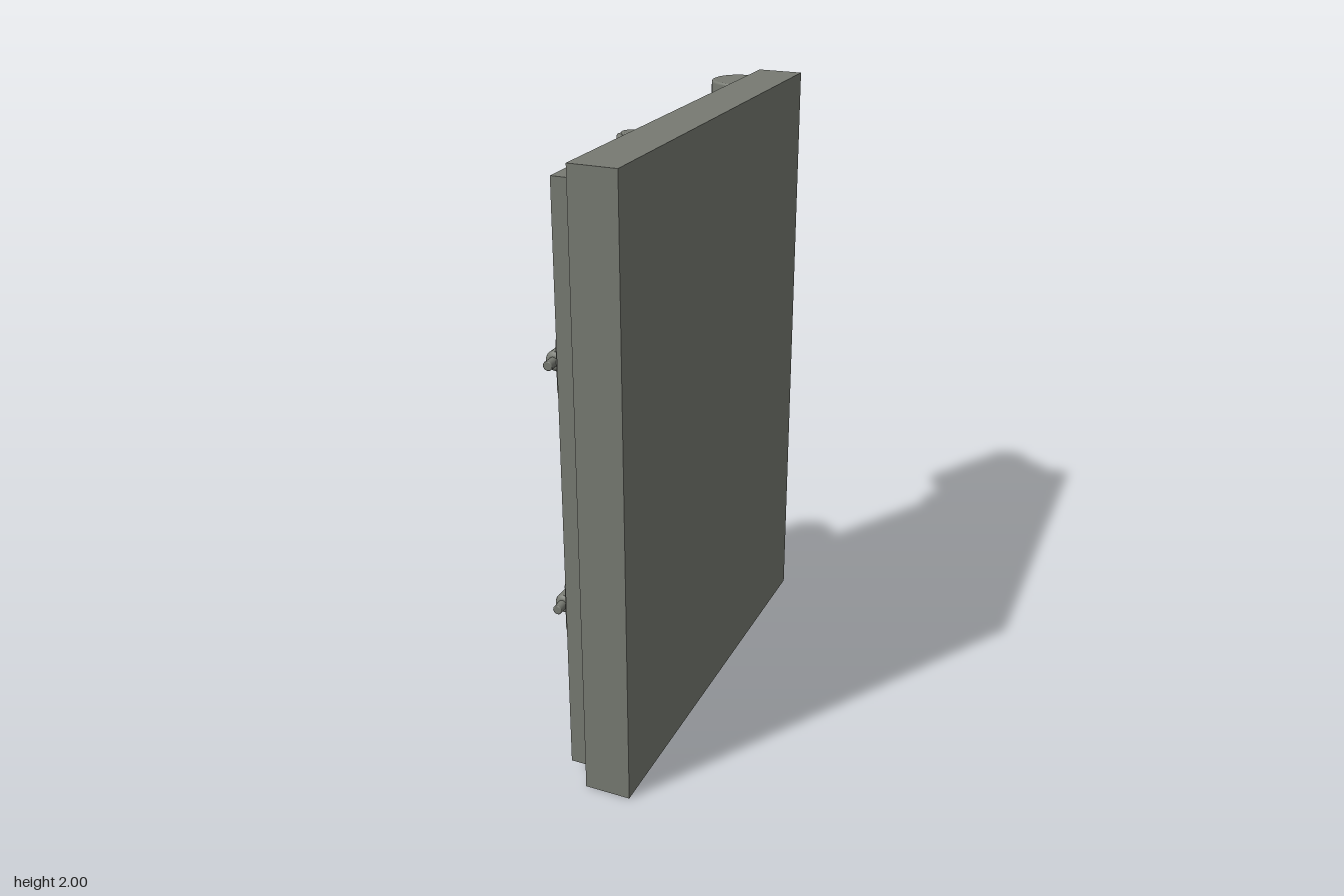
import * as THREE from 'three';

const steel = new THREE.MeshStandardMaterial({ color: 0x777a72 });
steel.name = 'grey steel';

// Wheel and pivots share this z position on the door face
const PIVOT_Z = 0.16;

export function createModel() {
  const model = new THREE.Group();
  model.name = 'vaultDoor';

  const add = (name, geo, x = 0, y = 0, z = 0) => {
    const mesh = new THREE.Mesh(geo, steel);
    mesh.name = name;
    mesh.position.set(x, y, z);
    model.add(mesh);
    return mesh;
  };

  // Box given by its limits on each axis
  const box = (name, x0, x1, y0, y1, z0, z1) =>
    add(name, new THREE.BoxGeometry(x1 - x0, y1 - y0, z1 - z0), (x0 + x1) / 2, (y0 + y1) / 2, (z0 + z1) / 2);

  // Round bar with softened ends, turned around y and centred on its length
  const barrelGeo = (r, length, soft, segments = 32) => {
    const h = length / 2, k = soft * 0.3;
    const flat = [[0, -h], [r - soft, -h]];
    const side = [[r - soft, -h], [r - k, -h + k], [r, -h + soft], [r, h - soft], [r - k, h - k], [r - soft, h]];
    const pts = [...flat, ...side, [r - soft, h], [0, h]].map(p => new THREE.Vector2(...p));
    return new THREE.LatheGeometry(pts, segments);
  };
  const alongX = geo => geo.rotateZ(Math.PI / 2);
  const alongZ = geo => geo.rotateX(Math.PI / 2);

  // Closed outline from [u, v, cornerRadius] points
  const roundedShape = pts => {
    const s = new THREE.Shape();
    pts.forEach(([u, v, r = 0], i) => {
      const p = new THREE.Vector2(u, v);
      const toward = q => p.clone().add(new THREE.Vector2(q[0], q[1]).sub(p).setLength(r));
      const a = toward(pts[(i + pts.length - 1) % pts.length]);
      const b = toward(pts[(i + 1) % pts.length]);
      if (i === 0) s.moveTo(a.x, a.y); else s.lineTo(a.x, a.y);
      if (r) s.quadraticCurveTo(u, v, b.x, b.y);
    });
    s.closePath();
    return s;
  };

  // Plate lying on the door face: outline in (z, y), thickness from xIn out to xOut
  const facePlate = (name, pts, xIn, xOut, bevel) => {
    const geo = new THREE.ExtrudeGeometry(roundedShape(pts), {
      depth: xIn - xOut - 2 * bevel, bevelEnabled: bevel > 0, bevelSize: bevel,
      bevelThickness: bevel, bevelOffset: -bevel, bevelSegments: 2, curveSegments: 10,
    });
    geo.rotateY(-Math.PI / 2);
    return add(name, geo, xIn - bevel, 0, 0);
  };
  const rect = (z0, z1, y0, y1, r) => [[z0, y0, r], [z1, y0, r], [z1, y1, r], [z0, y1, r]];

  // Door slabs
  box('outerSlab', 0.02, 0.17, 0, 2, -0.64, 0.797);
  box('innerSlab', -0.05, 0.02, 0.05, 1.95, -0.605, 0.757);

  // Crane hinge plate: C-shaped strap, mirrored about mid height
  const half = [
    [-0.48, 1.47, 0.06], [-0.63, 1.47], [-0.63, 1.75], [-0.46, 1.76, 0.09], [-0.46, 1.915, 0.11],
    [PIVOT_Z, 1.915], [PIVOT_Z, 1.74], [-0.2, 1.74, 0.14],
  ];
  const lowerHalf = half.map(([z, y, r]) => [z, 2 - y, r]).reverse();
  facePlate('cranePlate', [...half, ...lowerHalf], -0.09, -0.118, 0.007);

  // Parts repeated above and below mid height
  for (const s of [1, -1]) {
    const Y = y => 1 + s * (y - 1);

    // Main hinge barrels
    add('frameHingeBarrel', barrelGeo(0.096, 0.203, 0.008, 48), -0.079, Y(1.847), -0.7);
    add('doorHingeBarrel', barrelGeo(0.096, 0.25, 0.008, 48), -0.079, Y(1.616), -0.7);
    add('hingePin', new THREE.CylinderGeometry(0.085, 0.085, 0.1, 32), -0.079, Y(1.745), -0.7);

    // Arm from the outer barrel round to the slab edge
    const arm = new THREE.Shape([[-0.06, 0.75], [0.08, 0.713], [0.068, 0.648], [0, 0.648], [-0.06, 0.64]]
      .map(p => new THREE.Vector2(...p)));
    const armGeo = new THREE.ExtrudeGeometry(arm, { depth: 0.19, bevelEnabled: false });
    armGeo.rotateX(-Math.PI / 2).translate(0, -0.095, 0);
    add('hingeArm', armGeo, 0, Y(1.847), 0);

    // Pivot barrels joining the crane plate to the door
    add('cranePivotBarrel', barrelGeo(0.044, 0.175, 0.007), -0.095, Y(1.845), PIVOT_Z);
    add('doorPivotBarrel', barrelGeo(0.044, 0.18, 0.007), -0.095, Y(1.655), PIVOT_Z);
    add('pivotPin', barrelGeo(0.03, 0.38, 0.004), -0.095, Y(1.75), PIVOT_Z);

    // Pivot bracket with four bolts
    facePlate('pivotBracket', rect(0, 0.32, Y(1.65) - 0.09, Y(1.65) + 0.09, 0.035), -0.05, -0.066, 0.004);
    box('pivotBracketWeb', -0.095, -0.06, Y(1.655) - 0.075, Y(1.655) + 0.075, PIVOT_Z - 0.044, PIVOT_Z + 0.044);
    for (const dz of [-0.115, 0.115]) for (const dy of [-0.045, 0.045]) {
      add('bracketBolt', alongX(barrelGeo(0.018, 0.022, 0.005, 12)), -0.069, Y(1.65) + dy, PIVOT_Z + dz);
    }

    // Horizontal locking rod and its guides at both door edges
    add('lockingRod', alongZ(barrelGeo(0.015, 1.355, 0.003, 16)), -0.081, Y(1.4), 0.08);
    for (const z of [-0.557, 0.68]) {
      facePlate('rodGuidePlate', rect(z - 0.045, z + 0.06, Y(1.395) - 0.09, Y(1.395) + 0.09, 0.02), -0.05, -0.063, 0.003);
      add('rodGuide', alongZ(barrelGeo(0.031, 0.085, 0.012, 20)), -0.079, Y(1.4), z);
      box('rodGuideFoot', -0.08, -0.055, Y(1.4) - 0.03, Y(1.4) + 0.03, z - 0.035, z + 0.035);
      for (const dy of [-0.06, 0.06]) {
        add('guideBolt', alongX(barrelGeo(0.012, 0.016, 0.004, 12)), -0.067, Y(1.395) + dy, z);
      }
    }

    // Linkage disc and the rod from it to the wheel
    add('linkageDisc', alongX(barrelGeo(0.078, 0.065, 0.01)), -0.082, Y(1.4), PIVOT_Z);
    add('linkageRod', new THREE.CylinderGeometry(0.015, 0.015, 0.34, 16), -0.081, Y(1.23), PIVOT_Z);
  }

  // Wheel hub
  add('wheelHub', alongX(barrelGeo(0.158, 0.092, 0.014, 48)), -0.095, 1.003, PIVOT_Z);

  // Four flared spokes
  const spokeProfile = [
    [0, 0], [0.021, 0], [0.02, 0.17], [0.015, 0.3], [0.015, 0.375], [0.021, 0.392],
    [0.03, 0.408], [0.031, 0.425], [0.024, 0.442], [0.012, 0.45], [0, 0.451],
  ].map(p => new THREE.Vector2(...p));
  for (let i = 0; i < 4; i++) {
    const spoke = add('wheelSpoke', new THREE.LatheGeometry(spokeProfile, 20), -0.103, 1.003, PIVOT_Z);
    spoke.rotation.x = Math.PI / 4 + i * Math.PI / 2;
  }

  return model;
}
